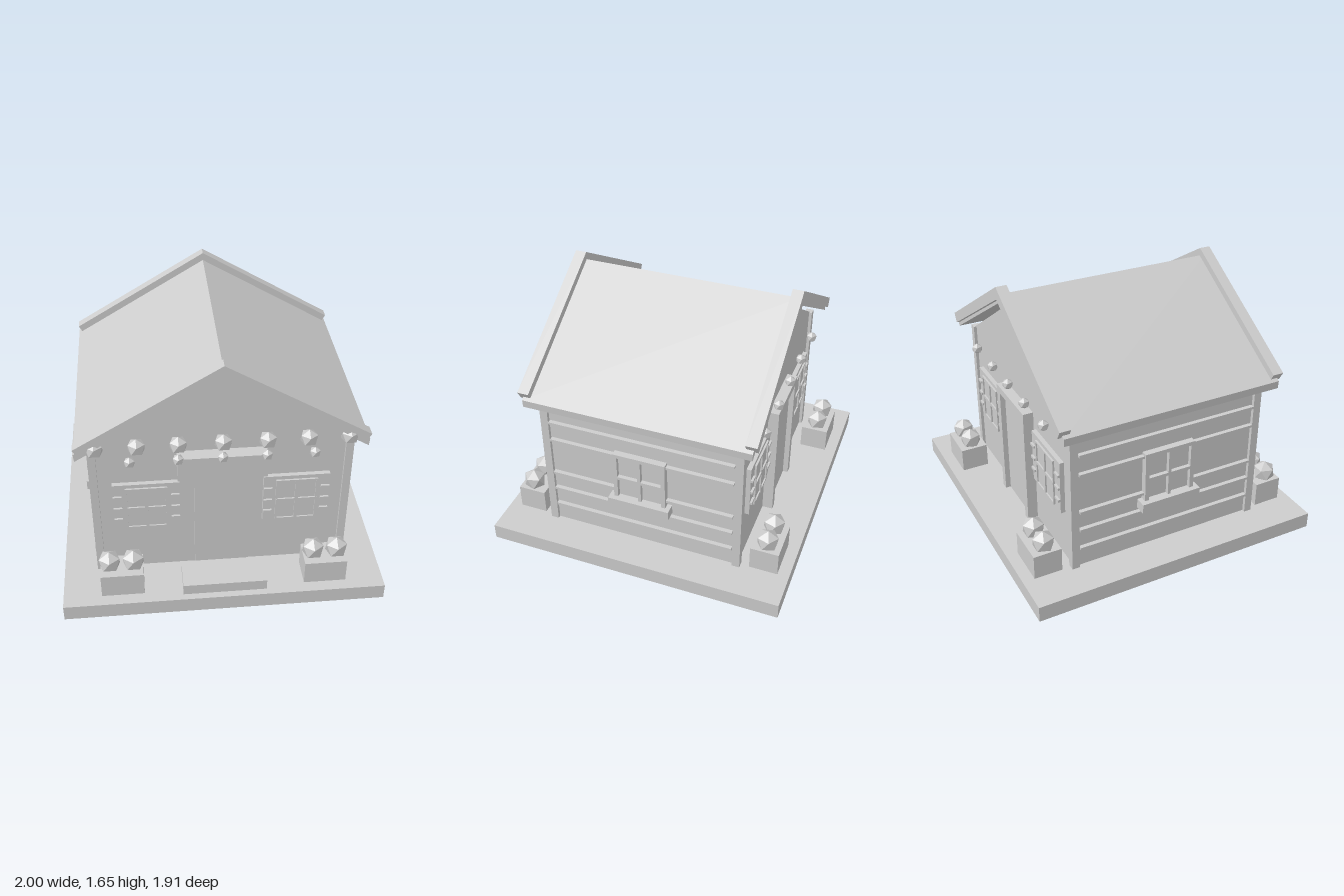
import * as THREE from 'three';

export function createModel() {
  const grey = new THREE.MeshStandardMaterial({ color: 0xcccccc, flatShading: true });
  grey.name = 'plain grey';
  const model = new THREE.Group();
  model.name = 'cottage';

  const add = (parent, name, geometry) => {
    const mesh = new THREE.Mesh(geometry, grey);
    mesh.name = name;
    parent.add(mesh);
    return mesh;
  };
  // Box given by its lower and upper limits on each axis
  const box = (parent, name, [x0, x1], [y0, y1], [z0, z1]) => {
    const mesh = add(parent, name, new THREE.BoxGeometry(x1 - x0, y1 - y0, z1 - z0));
    mesh.position.set((x0 + x1) / 2, (y0 + y1) / 2, (z0 + z1) / 2);
    return mesh;
  };
  // Outline in x and y, mirrored across x = 0 and extruded from z0 to z1
  const prism = (parent, name, points, z0, z1) => {
    const shape = new THREE.Shape(points.map(([x, y]) => new THREE.Vector2(x, y)));
    const geometry = new THREE.ExtrudeGeometry(shape, { depth: z1 - z0, bevelEnabled: false });
    return add(parent, name, geometry.translate(0, 0, z0));
  };
  // Faceted ball with a corner pointing straight up
  const ball = (parent, name, r, x, y, z) => {
    const geometry = new THREE.IcosahedronGeometry(r, 0);
    geometry.rotateZ(Math.atan(2 / (1 + Math.sqrt(5)))).rotateY(Math.PI / 2);
    add(parent, name, geometry).position.set(x, y, z);
  };

  // Ground slab, walls and roof
  box(model, 'base', [-1, 1], [0, 0.103], [-0.955, 0.955]);
  prism(model, 'walls', [[-0.77, 0.1], [0.77, 0.1], [0.77, 1.05], [0, 1.545], [-0.77, 1.05]], -0.625, 0.625);
  prism(model, 'roof', [
    [0, 1.6], [-0.862, 1.085], [-0.858, 1.035], [0, 1.55], [0.858, 1.035], [0.862, 1.085],
  ], -0.71, 0.71);
  for (const z of [-0.7, 0.7]) {
    prism(model, 'gableBoard', [
      [0, 1.65], [-0.863, 1.135], [-0.83, 1.078], [0, 1.571], [0.83, 1.078], [0.863, 1.135],
    ], z - 0.035, z + 0.035);
  }

  // Corner posts
  for (const x of [-0.767, 0.767]) {
    for (const z of [-0.62, 0.62]) {
      box(model, 'cornerPost', [x - 0.024, x + 0.024], [0.1, 1.06], [z - 0.025, z + 0.025]);
    }
  }

  // Window with shutters, on the front and the back
  const shutteredWindow = (parent, x) => {
    const g = new THREE.Group();
    g.name = 'shutteredWindow';
    g.position.x = x;
    parent.add(g);
    box(g, 'windowBoard', [-0.203, 0.203], [0.437, 0.79], [0.61, 0.654]);
    box(g, 'pane', [-0.118, 0.118], [0.465, 0.755], [0.65, 0.657]);
    for (const s of [-1, 1]) {
      const e = s * 0.122;
      box(g, 'frameSide', [e - 0.006, e + 0.006], [0.455, 0.765], [0.65, 0.666]);
      const y = 0.61 + s * 0.149;
      box(g, 'frameRail', [-0.128, 0.128], [y - 0.006, y + 0.006], [0.65, 0.666]);
      for (const ly of [0.526, 0.61, 0.7]) {
        box(g, 'louver', [s * 0.175 - 0.026, s * 0.175 + 0.026], [ly - 0.008, ly + 0.008], [0.65, 0.668]);
      }
    }
    box(g, 'mullion', [-0.01, 0.01], [0.455, 0.765], [0.65, 0.667]);
    box(g, 'crossBar', [-0.125, 0.125], [0.6, 0.62], [0.65, 0.667]);
  };

  // Planter with two bushes
  const planter = (parent, s) => {
    const g = new THREE.Group();
    g.name = 'planter';
    parent.add(g);
    const x = s * 0.631;
    box(g, 'planterBox', [x - 0.132, x + 0.132], [0.103, 0.262], [0.7, 0.88]);
    for (const bx of [0.558, 0.705]) ball(g, 'bush', 0.074, s * bx, 0.312, 0.793);
  };

  // Parts shared by both gable ends; the back is the front turned round
  const ends = ['frontEnd', 'backEnd'].map((name, i) => {
    const end = new THREE.Group();
    end.name = name;
    end.rotation.y = i * Math.PI;
    model.add(end);
    for (const s of [-1, 1]) {
      shutteredWindow(end, s * 0.458);
      planter(end, s);
    }
    box(end, 'door', [-0.168, 0.168], [0.1, 0.807], [0.61, 0.659]);
    for (const x of [-0.545, -0.262, 0, 0.262, 0.545]) ball(end, 'smallBulb', 0.036, x, 0.997, 0.697);
    return end;
  });

  // Front only: step, sign board and large bulbs
  const [front, back] = ends;
  box(front, 'step', [-0.26, 0.26], [0.1, 0.175], [0.7, 0.912]);
  box(front, 'signBoard', [-0.268, 0.268], [0.842, 1.004], [0.62, 0.708]);
  for (const x of [-0.74, -0.5, -0.26, 0, 0.26, 0.5, 0.74]) ball(front, 'largeBulb', 0.057, x, 1.115, 0.708);

  // Back only: door frame
  for (const x of [-0.195, 0.195]) box(back, 'doorPost', [x - 0.024, x + 0.024], [0.1, 0.845], [0.61, 0.692]);
  box(back, 'doorHead', [-0.22, 0.22], [0.842, 0.89], [0.61, 0.692]);

  // Side walls: battens and a window with a sill
  for (const s of [-1, 1]) {
    const side = new THREE.Group();
    side.name = s > 0 ? 'leftSide' : 'rightSide';
    side.rotation.y = s * Math.PI / 2;
    model.add(side);
    for (const y of [0.24, 0.374, 0.897]) {
      box(side, 'batten', [-0.59, 0.59], [y - 0.008, y + 0.008], [0.76, 0.797]);
    }
    for (const y of [0.503, 0.765]) {
      for (const x of [-0.375, 0.375]) {
        box(side, 'batten', [x - 0.215, x + 0.215], [y - 0.008, y + 0.008], [0.76, 0.797]);
      }
    }
    for (const x of [-0.155, 0.155]) box(side, 'casingSide', [x - 0.013, x + 0.013], [0.44, 0.79], [0.76, 0.812]);
    box(side, 'casingTop', [-0.168, 0.168], [0.765, 0.79], [0.76, 0.812]);
    box(side, 'pane', [-0.143, 0.143], [0.45, 0.766], [0.76, 0.786]);
    box(side, 'mullion', [-0.01, 0.01], [0.45, 0.766], [0.76, 0.812]);
    box(side, 'crossBar', [-0.143, 0.143], [0.597, 0.617], [0.76, 0.812]);
    box(side, 'sill', [-0.198, 0.198], [0.397, 0.46], [0.76, 0.844]);
  }
  return model;
}
